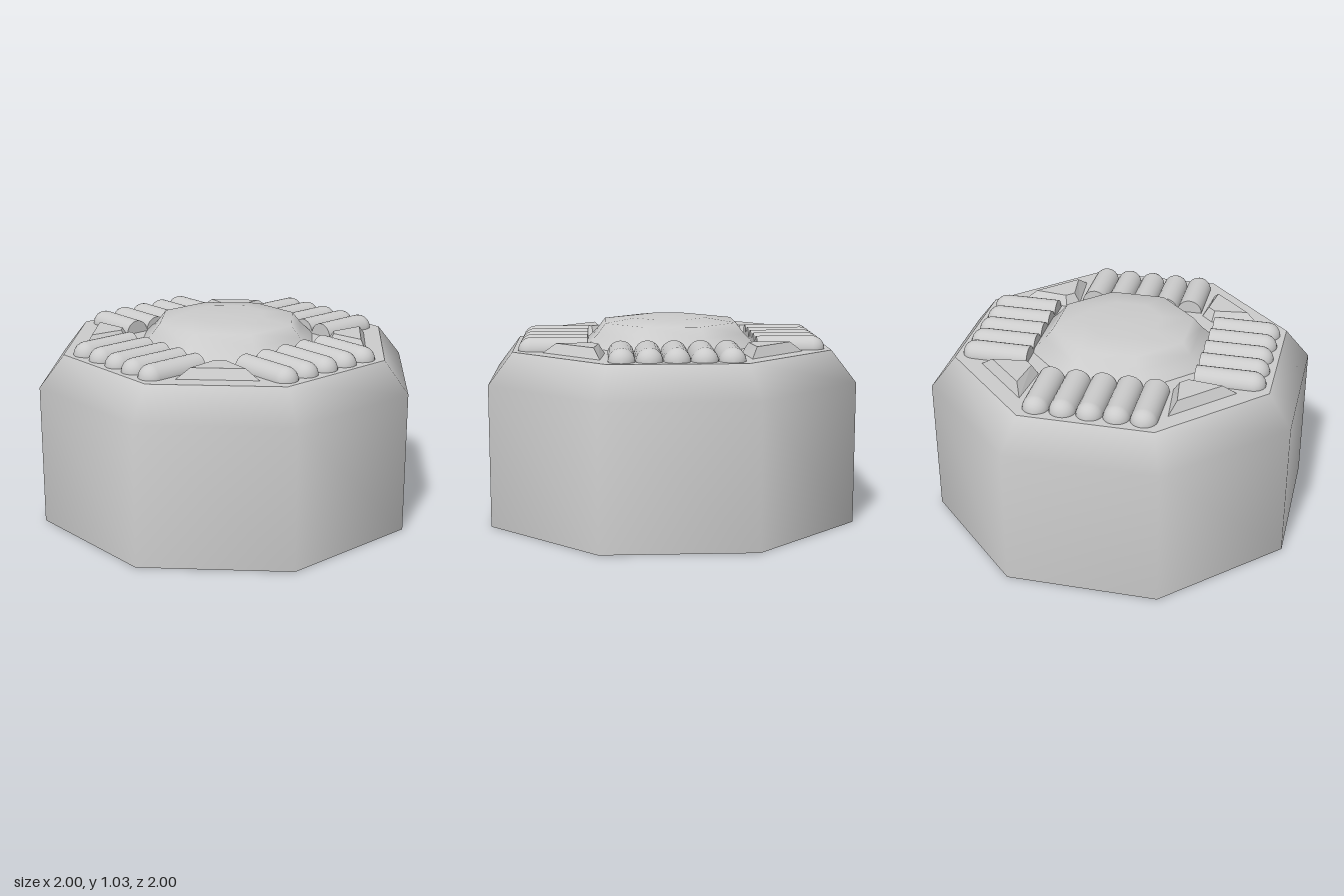
import * as THREE from 'three';

const material = new THREE.MeshStandardMaterial({ color: 0xcccccc });
const TOP = 0.885;

function addMesh(parent, geometry, name) {
  const mesh = new THREE.Mesh(geometry, material);
  mesh.name = name;
  parent.add(mesh);
  return mesh;
}

// Eight-sided turned part; corners lie on the x and z axes
function octagonLathe(points) {
  return new THREE.LatheGeometry(points.map(([r, y]) => new THREE.Vector2(r, y)), 8);
}

// Half-round rib along +y before rotation: flat inner end, rounded outer end
function ribGeometry(radius, length) {
  const points = [[0, 0], [radius, 0], [radius, 0]];
  const steps = 6;
  for (let i = 0; i <= steps; i++) {
    const a = (i / steps) * Math.PI / 2;
    points.push([radius * Math.cos(a), length - radius + radius * Math.sin(a)]);
  }
  const geometry = new THREE.LatheGeometry(
    points.map(([r, y]) => new THREE.Vector2(Math.max(r, 0), y)), 12, Math.PI / 2, Math.PI);
  return geometry.rotateX(Math.PI / 2);
}

// Raised block with sloping sides, from two matching outlines of [x, z]
function bevelledBlock(base, top, y0, y1) {
  const positions = [];
  const lower = base.map(([x, z]) => [x, y0, z]);
  const upper = top.map(([x, z]) => [x, y1, z]);
  const n = base.length;
  for (let i = 0; i < n; i++) {
    const j = (i + 1) % n;
    positions.push(...lower[i], ...lower[j], ...upper[j], ...lower[i], ...upper[j], ...upper[i]);
  }
  for (let i = 1; i < n - 1; i++) positions.push(...upper[0], ...upper[i], ...upper[i + 1]);
  const geometry = new THREE.BufferGeometry();
  geometry.setAttribute('position', new THREE.Float32BufferAttribute(positions, 3));
  geometry.computeVertexNormals();
  return geometry;
}

export function createModel() {
  const model = new THREE.Group();
  model.name = 'octagonalKnob';

  // Body: smooth wall and chamfer, with separate flat ends
  const body = new THREE.Group();
  body.name = 'body';
  model.add(body);
  addMesh(body, octagonLathe([[1, 0], [1, 0.725], [0.87, TOP]]), 'wall');
  addMesh(body, octagonLathe([[0.87, TOP], [0, TOP]]), 'topFace');
  addMesh(body, octagonLathe([[0, 0], [1, 0]]), 'bottomFace');

  // Low central dome
  addMesh(model, octagonLathe([
    [0.48, TOP], [0.41, 0.95], [0.365, 1.005], [0.2, 1.026], [0, 1.028],
  ]), 'centreDome');

  const ribs = ribGeometry(0.066, 0.35);
  const block = bevelledBlock(
    [[-0.2, 0.718], [0.2, 0.718], [0.042, 0.526], [-0.042, 0.526]],
    [[-0.132, 0.692], [0.132, 0.692], [0.027, 0.555], [-0.027, 0.555]],
    TOP, 0.936);

  // Four rib pads alternate with four bevelled blocks
  for (let k = 0; k < 4; k++) {
    const pad = new THREE.Group();
    pad.name = `ribPad${k + 1}`;
    pad.rotation.y = -Math.PI / 8 + k * Math.PI / 2;
    model.add(pad);
    for (let i = -2; i <= 2; i++) {
      addMesh(pad, ribs, `rib${i + 3}`).position.set(i * 0.132, TOP, 0.428);
    }
    addMesh(model, block, `cornerBlock${k + 1}`).rotation.y = Math.PI / 8 + k * Math.PI / 2;
  }

  return model;
}
